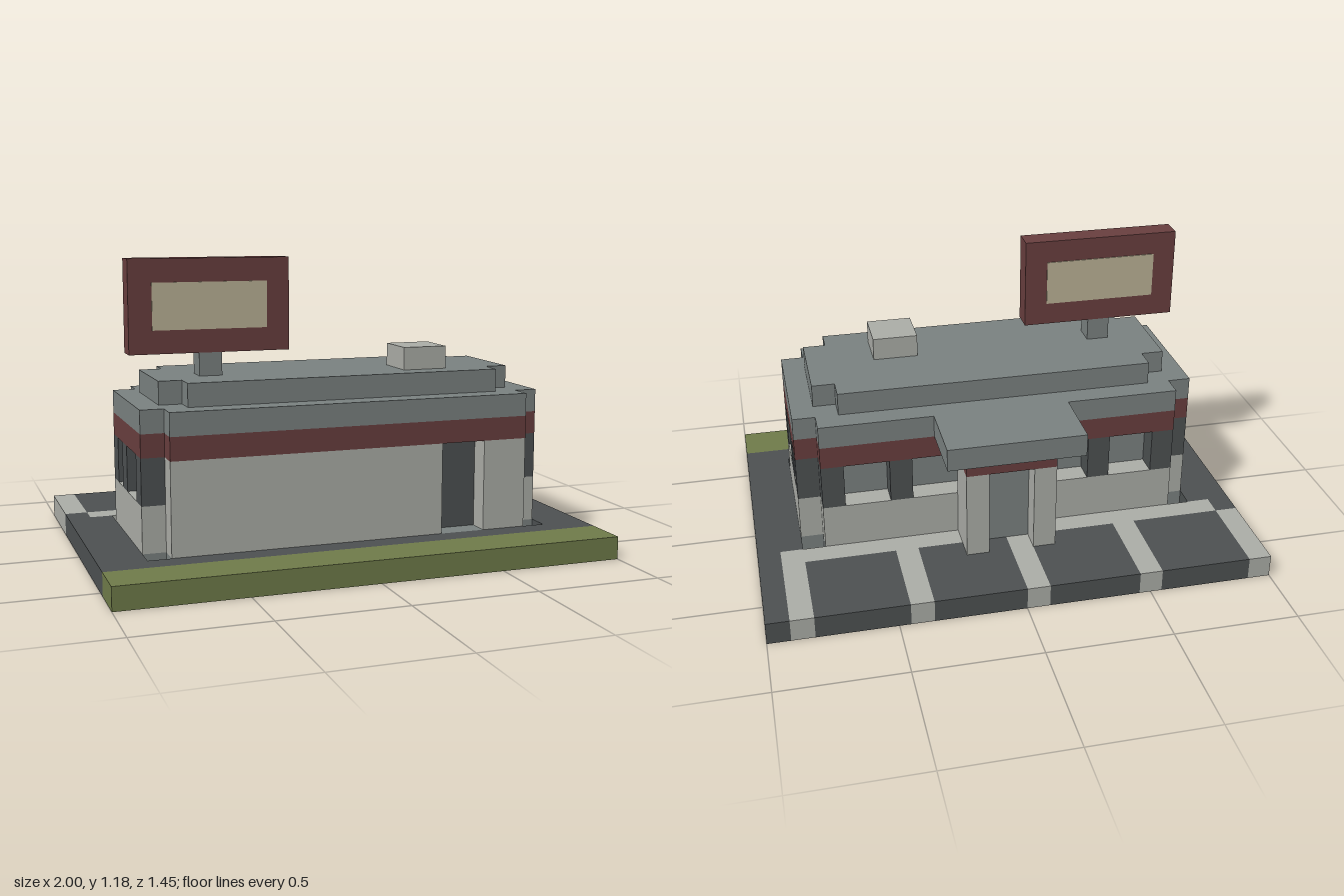
import * as THREE from 'three';

const U = 1 / 11; // one block

const mat = (name, color) => {
  const m = new THREE.MeshStandardMaterial({ color });
  m.name = name;
  return m;
};

export function createModel() {
  const model = new THREE.Group();
  model.name = 'roadsideDiner';
  const asphalt = mat('asphalt', 0x4d5152);
  const concrete = mat('concrete', 0xacaea8);
  const slate = mat('slate', 0x7b8281);
  const maroon = mat('maroon', 0x693f3f);
  const grass = mat('grass', 0x707c4a);
  const cream = mat('cream', 0xbbb296);

  // Box given by its extents in blocks
  const box = (name, m, x0, x1, y0, y1, z0, z1) => {
    const g = new THREE.BoxGeometry((x1 - x0) * U, (y1 - y0) * U, (z1 - z0) * U);
    const mesh = new THREE.Mesh(g, m);
    mesh.position.set((x0 + x1) / 2 * U, (y0 + y1) / 2 * U, (z0 + z1) / 2 * U);
    mesh.name = name;
    model.add(mesh);
  };
  const mirrored = (name, m, x0, x1, ...rest) => {
    box(name, m, x0, x1, ...rest);
    box(name, m, -x1, -x0, ...rest);
  };
  // Plus-shaped slab: a rectangle with one block cut from each corner
  const notchedSlab = (name, m, hx, z0, z1, y0, y1) => {
    box(name, m, -hx + 1, hx - 1, y0, y1, z0, z1);
    mirrored(name, m, hx - 1, hx, y0, y1, z0 + 1, z1 - 1);
  };

  // Ground slab
  box('lawn', grass, -11, 11, 0, 1, 6, 8);
  box('frontPavement', asphalt, -11, 11, 0, 1, 5, 6);
  mirrored('sidePavement', asphalt, 9, 11, 0, 1, -3, 5);
  notchedSlab('floor', slate, 9, -3, 5, 0, 1);
  box('walkway', concrete, -10, 10, 0, 1, -4, -3);
  mirrored('walkwayEnd', asphalt, 10, 11, 0, 1, -4, -3);

  // Parking bays divided by pale lines
  for (const x of [-11, -6, -1, 4, 9]) {
    box('parkingLine', concrete, x, x + 1, 0, 1, -8, -4);
    box('parkingBay', asphalt, x + 1, Math.min(x + 5, 11), 0, 1, -8, -4);
  }

  // Building core, seen as glass behind the window openings
  box('glassCore', slate, -8, 8, 1, 5, -2, 4);

  // Front wall with a recessed doorway
  box('frontWall', concrete, -8, 4, 1, 5, 4, 5);
  box('frontWall', concrete, 6, 8, 1, 5, 4, 5);
  box('frontDoor', asphalt, 4, 6, 1, 5, 4, 4.06);

  // Low walls and window posts
  mirrored('sideWall', concrete, 8, 9, 1, 3, -2, 4);
  box('backWall', concrete, -8, 8, 1, 3, -3, -2);
  for (const z of [-2, 0, 3]) mirrored('sideWindowPost', asphalt, 8, 9, 3, 5, z, z + 1);
  for (const x of [4, 7]) mirrored('backWindowPost', asphalt, x, x + 1, 3, 5, -3, -2);

  // Back entrance porch
  mirrored('porchWall', concrete, 1, 2, 1, 5, -5, -3);
  box('backDoor', slate, -1, 1, 1, 5, -4, -3);
  box('porchBand', maroon, -2, 2, 5, 6, -5, -3);
  box('porchCanopy', slate, -3, 3, 6, 7, -6, -3);

  // Band and stepped roof
  notchedSlab('wallBand', maroon, 9, -3, 5, 5, 6);
  notchedSlab('lowerRoof', slate, 9, -3, 5, 6, 7);
  notchedSlab('upperRoof', slate, 8, -2, 4, 7, 8);
  box('roofVent', concrete, 3, 5, 8, 9, 1, 3);

  // Roof sign with a pale panel on both faces
  box('signPost', slate, -6, -5, 8, 9, 1, 2);
  box('signBoard', maroon, -9, -2, 9, 13, 1, 2);
  box('signPanelFront', cream, -8, -3, 10, 12, 2, 2.04);
  box('signPanelBack', cream, -8, -3, 10, 12, 0.96, 1);

  return model;
}
